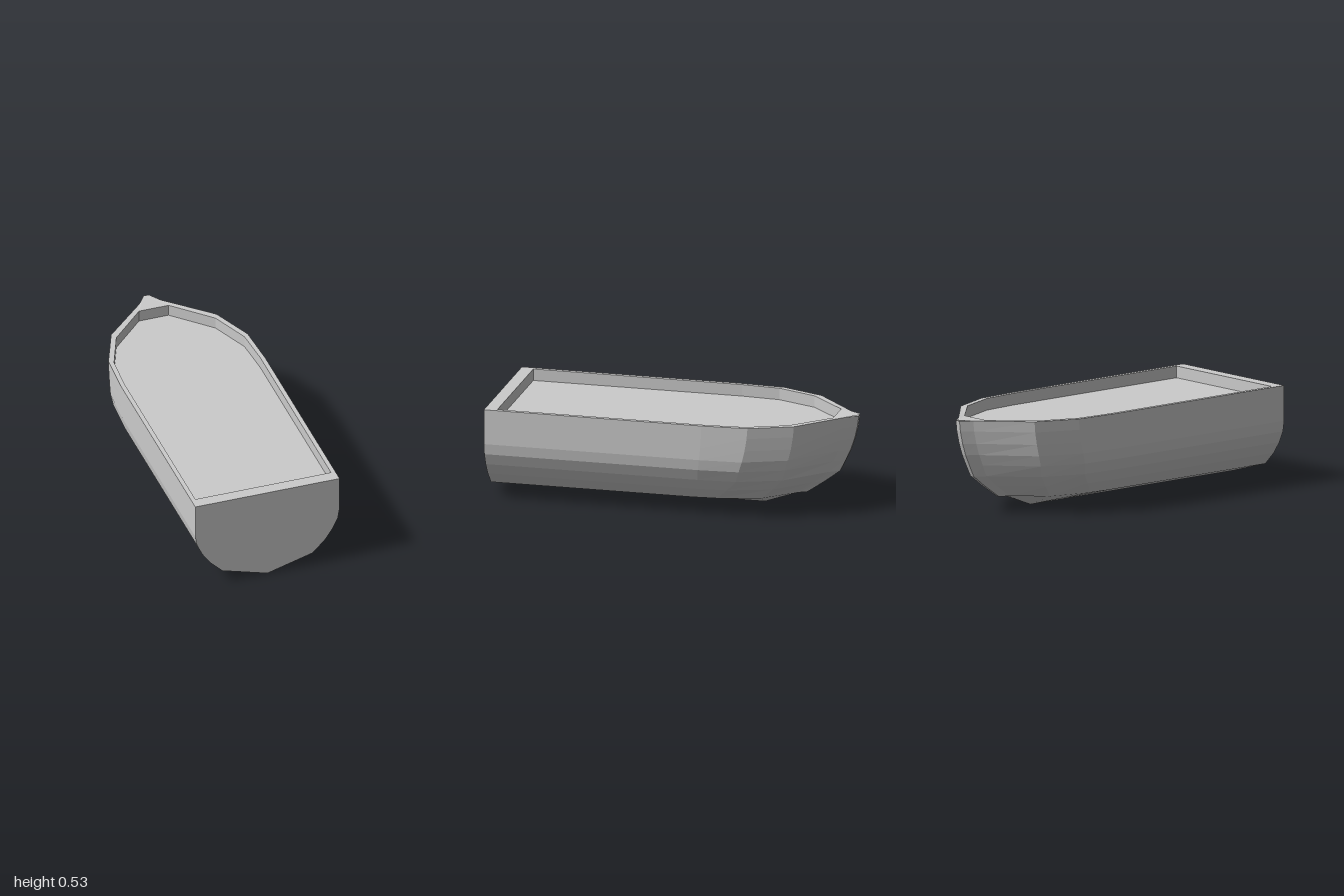
import * as THREE from 'three';

const material = new THREE.MeshStandardMaterial({ color: 0xcccccc, flatShading: true, side: THREE.DoubleSide });

// Hull half section, top to chine: [height, half width, rake of bow]
const ROWS = [
  [0.53, 0.415, 0], [0.47, 0.415, 0.025], [0.40, 0.415, 0.08], [0.335, 0.415, 0.155],
  [0.275, 0.405, 0.25], [0.21, 0.375, 0.36], [0.145, 0.33, 0.65], [0.075, 0.26, 1],
];
// Stations, stern to stem: z at the rim, width factor, z shift at the chine, keel z and y
const STATIONS = [
  { z: 1, width: 1, shift: 0, keelZ: 1, keelY: 0 },
  { z: -0.22, width: 1, shift: 0.09, keelZ: -0.13, keelY: 0 },
  { z: -0.475, width: 0.965, shift: 0.21, keelZ: -0.30, keelY: 0 },
  { z: -0.71, width: 0.73, shift: 0.21, keelZ: -0.47, keelY: 0 },
  { z: -0.94, width: 0.145, shift: 0.28, keelZ: -0.65, keelY: 0.073 },
  { z: -1, width: 0.036, shift: 0.29, keelZ: -0.71, keelY: 0.075 },
];
const RIM_Y = 0.53, FLOOR_Y = 0.465;

// Half outline of the cockpit opening, stern to bow: [x, z]
const COCKPIT = [[0.39, 0.93], [0.39, -0.24], [0.375, -0.455], [0.285, -0.675], [0.085, -0.875]];

// Closes a half outline by mirroring it across x = 0
const mirrored = (half) => [...half, ...half.slice().reverse().map(([x, z]) => [-x, z])];
const planShape = (outline) => new THREE.Shape(outline.map(([x, z]) => new THREE.Vector2(x, -z)));

function part(name, geometry) {
  const mesh = new THREE.Mesh(geometry, material);
  mesh.name = name;
  return mesh;
}

function surface(points, index) {
  const g = new THREE.BufferGeometry();
  g.setAttribute('position', new THREE.Float32BufferAttribute(points.flat(), 3));
  g.setIndex(index);
  const flat = g.toNonIndexed();
  flat.computeVertexNormals();
  return flat;
}

// One U-shaped section running from the left rim, under the keel, to the right rim
function section({ z, width, shift, keelZ, keelY }) {
  const half = ROWS.map(([y, w, rake]) => [w * width, y, z + shift * rake]);
  const right = half.slice().reverse().map(([x, y, zz]) => [-x, y, zz]);
  return [...half, [0, keelY, keelZ], ...right];
}

function hullGeometry() {
  const rings = STATIONS.map(section);
  const n = rings[0].length, index = [];
  for (let i = 0; i < rings.length - 1; i++) {
    for (let j = 0; j < n - 1; j++) {
      const a = i * n + j, b = a + n;
      index.push(a, a + 1, b, b, a + 1, b + 1);
    }
  }
  // Narrow face closing the stem
  const start = (rings.length - 1) * n;
  for (let j = 0; j < ROWS.length; j++) {
    const p = start + j, q = start + n - 1 - j;
    index.push(p, p + 1, q);
    if (j < ROWS.length - 1) index.push(q, p + 1, q - 1);
  }
  return surface(rings.flat(), index);
}

function transomGeometry() {
  const outline = section(STATIONS[0]).map(([x, y]) => new THREE.Vector2(x, y));
  return new THREE.ShapeGeometry(new THREE.Shape(outline)).translate(0, 0, 1);
}

// Flat gunwale with the cockpit cut out, its tip very slightly raised
function rimGeometry() {
  const shape = planShape(mirrored(STATIONS.map((s) => [0.415 * s.width, s.z])));
  shape.holes.push(planShape(mirrored(COCKPIT)));
  const g = new THREE.ShapeGeometry(shape).rotateX(-Math.PI / 2).translate(0, RIM_Y, 0);
  const p = g.attributes.position;
  for (let i = 0; i < p.count; i++) if (p.getZ(i) < -0.97) p.setY(i, RIM_Y + 0.004);
  return g;
}

// Upright walls between the rim and the floor
function wallGeometry() {
  const outline = mirrored(COCKPIT), n = outline.length, index = [];
  const points = [...outline.map(([x, z]) => [x, RIM_Y, z]), ...outline.map(([x, z]) => [x, FLOOR_Y, z])];
  for (let i = 0; i < n; i++) {
    const k = (i + 1) % n;
    index.push(i, k, n + i, k, n + k, n + i);
  }
  return surface(points, index);
}

export function createModel() {
  const boat = new THREE.Group();
  boat.name = 'boatHull';
  const floor = new THREE.ShapeGeometry(planShape(mirrored(COCKPIT)));
  floor.rotateX(-Math.PI / 2).translate(0, FLOOR_Y, 0);
  boat.add(
    part('hull', hullGeometry()),
    part('transom', transomGeometry()),
    part('gunwale', rimGeometry()),
    part('cockpitWalls', wallGeometry()),
    part('cockpitFloor', floor),
  );
  return boat;
}
